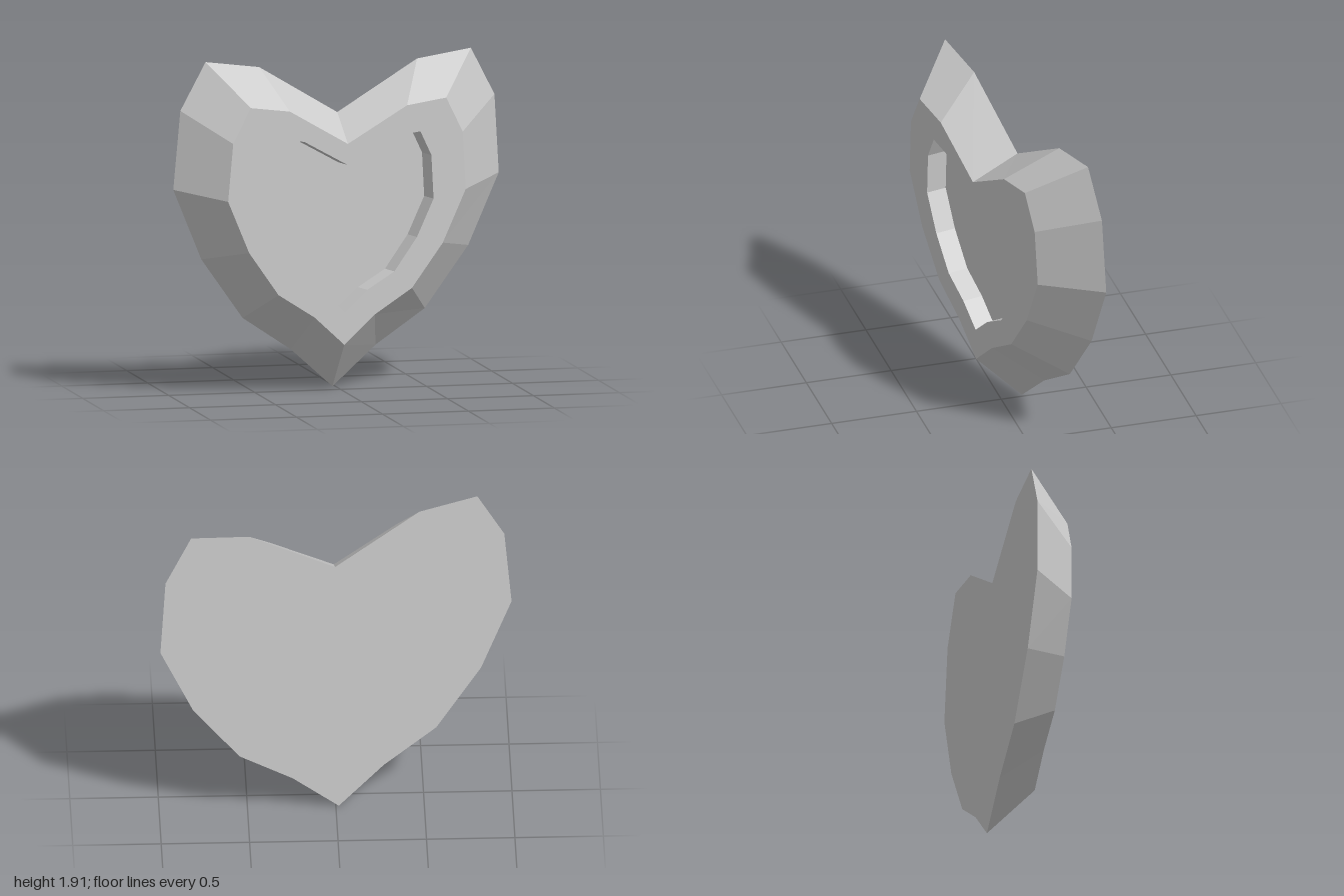
import * as THREE from 'three';

// Half outlines of the heart, from the top notch round to the bottom tip
const OUTER = [[0, 1.57], [0.485, 1.852], [0.815, 1.897], [0.965, 1.625], [1, 1.175], [0.82, 0.768], [0.56, 0.42], [0.26, 0.225], [0, 0]];
const FRONT = [[0, 1.425], [0.36, 1.628], [0.6, 1.66], [0.705, 1.46], [0.73, 1.13], [0.595, 0.83], [0.41, 0.58], [0.185, 0.44], [0, 0.275]];
const INNER = [[0, 1.305], [0.268, 1.45], [0.445, 1.475], [0.515, 1.335], [0.533, 1.085], [0.435, 0.87], [0.3, 0.68], [0.135, 0.583], [0, 0.465]];

// Mirror a half outline into a closed loop lying on the tilted plane at the given depth
function heartLoop(half, depth, shift = 0) {
  const mirrored = half.slice(1, -1).reverse().map(([x, y]) => [-x, y]);
  return [...half, ...mirrored].map(([x, y]) => {
    const px = x + 0.013 * (y - 1.3);
    const py = y - 0.015 * x;
    return new THREE.Vector3(px + shift, py, depth - 0.219 * (px + shift) + 0.023 * py);
  });
}

function facetMesh(name, points) {
  const geometry = new THREE.BufferGeometry().setFromPoints(points);
  geometry.computeVertexNormals();
  const material = new THREE.MeshStandardMaterial({ color: 0xcccccc, flatShading: true });
  const mesh = new THREE.Mesh(geometry, material);
  mesh.name = name;
  return mesh;
}

// Band of facets joining two loops
function band(name, a, b) {
  const points = [];
  a.forEach((p, i) => {
    const j = (i + 1) % a.length;
    points.push(p, b[i], b[j], p, b[j], a[j]);
  });
  return facetMesh(name, points);
}

// Flat face filling a loop, facing the front or the back
function cap(name, loop, facesBack) {
  const contour = loop.map((p) => new THREE.Vector2(p.x, p.y));
  const points = [];
  for (const [a, b, c] of THREE.ShapeUtils.triangulateShape(contour, [])) {
    const ab = contour[b].clone().sub(contour[a]);
    const ac = contour[c].clone().sub(contour[a]);
    const isBack = ab.cross(ac) < 0;
    const order = isBack === facesBack ? [a, b, c] : [a, c, b];
    points.push(...order.map((i) => loop[i]));
  }
  return facetMesh(name, points);
}

export function createModel() {
  const outer = heartLoop(OUTER, -0.13);
  const front = heartLoop(FRONT, 0.135);
  const inner = heartLoop(INNER, 0.135);
  const floor = heartLoop(INNER, 0.012, -0.026);

  const heart = new THREE.Group();
  heart.name = 'facetedHeart';
  heart.add(
    band('bevelledSide', outer, front),
    band('frontRim', front, inner),
    band('recessWall', inner, floor),
    cap('recessFloor', floor, false),
    cap('backFace', outer, true),
  );
  return heart;
}
